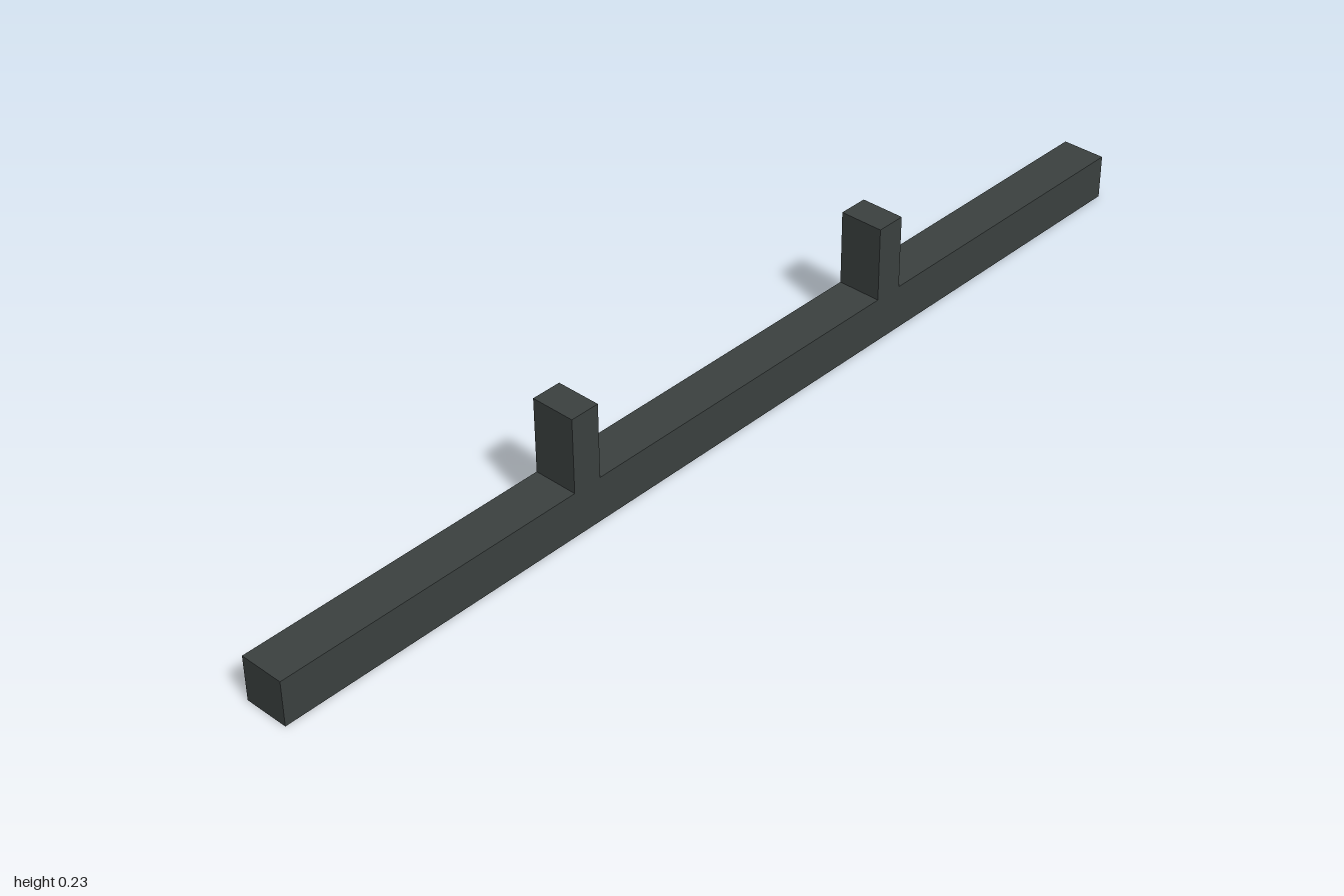
import * as THREE from 'three';

const WIDTH = 0.085;
const BAR_HEIGHT = 0.086;
const TOTAL_HEIGHT = 0.229;
const POST_DEPTH = 0.057;
const POST_Z = 0.3715;

export function createModel() {
  const group = new THREE.Group();
  group.name = 'barWithPosts';

  const darkGrey = new THREE.MeshStandardMaterial({ color: 0x3b4140 });
  darkGrey.name = 'darkGrey';

  function addBox(name, height, depth, bottom, z) {
    const mesh = new THREE.Mesh(new THREE.BoxGeometry(WIDTH, height, depth), darkGrey);
    mesh.name = name;
    mesh.position.set(0, bottom + height / 2, z);
    group.add(mesh);
  }

  // Long square bar
  addBox('bar', BAR_HEIGHT, 2, 0, 0);

  // Upright posts standing on the bar
  for (const [name, side] of [['frontPost', 1], ['backPost', -1]]) {
    addBox(name, TOTAL_HEIGHT - BAR_HEIGHT, POST_DEPTH, BAR_HEIGHT, side * POST_Z);
  }

  return group;
}
